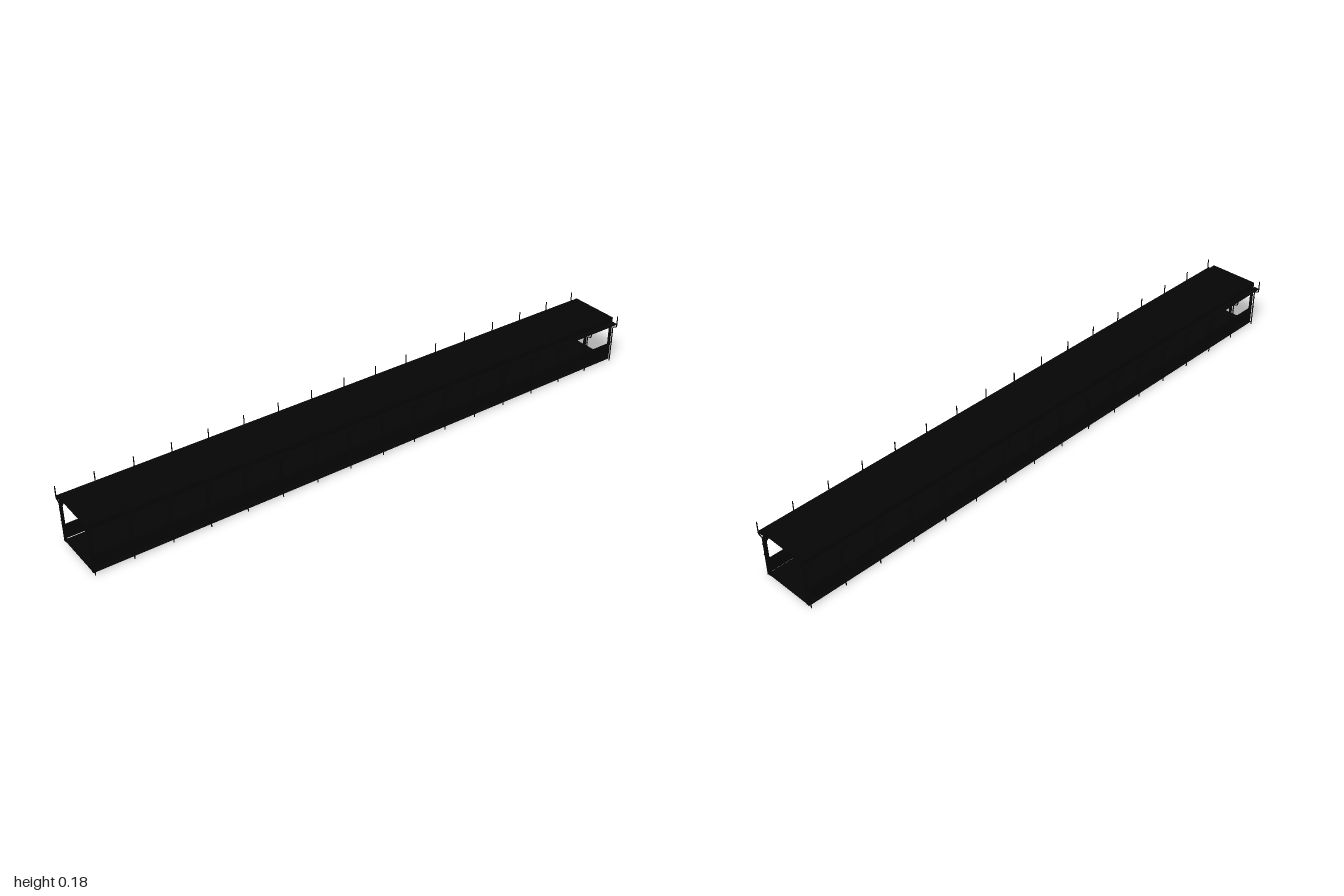
import * as THREE from 'three';

const BAYS = 16, LENGTH = 2, PITCH = LENGTH / BAYS;
const black = new THREE.MeshStandardMaterial({ color: 0x050505, side: THREE.DoubleSide });

function add(parent, name, geometry, x = 0, y = 0, z = 0) {
  const mesh = new THREE.Mesh(geometry, black);
  mesh.name = name;
  mesh.position.set(x, y, z);
  parent.add(mesh);
  return mesh;
}

// Box given by its lower and upper limits in x and y, and its centre and depth in z
function box(parent, name, x0, x1, y0, y1, z, depth) {
  return add(parent, name, new THREE.BoxGeometry(Math.abs(x1 - x0), y1 - y0, depth),
    (x0 + x1) / 2, (y0 + y1) / 2, z);
}

// Triangular corner brace under the roof beam
function braceGeometry(side) {
  const s = new THREE.Shape();
  s.moveTo(side * 0.081, 0.159);
  s.lineTo(side * 0.061, 0.159);
  s.lineTo(side * 0.081, 0.129);
  s.closePath();
  return new THREE.ExtrudeGeometry(s, { depth: 0.006, bevelEnabled: false }).translate(0, 0, -0.003);
}

// Outer pole, cranked outward near the top
function poleGeometry(side) {
  const p = (x, y) => new THREE.Vector3(side * x, y, 0);
  const path = new THREE.CurvePath();
  path.add(new THREE.LineCurve3(p(0.0965, 0), p(0.0965, 0.13)));
  path.add(new THREE.QuadraticBezierCurve3(p(0.0965, 0.13), p(0.0965, 0.1345), p(0.101, 0.136)));
  path.add(new THREE.LineCurve3(p(0.101, 0.136), p(0.108, 0.138)));
  path.add(new THREE.QuadraticBezierCurve3(p(0.108, 0.138), p(0.113, 0.139), p(0.113, 0.145)));
  path.add(new THREE.LineCurve3(p(0.113, 0.145), p(0.113, 0.181)));
  return new THREE.TubeGeometry(path, 60, 0.0018, 6, false);
}

export function createModel() {
  const model = new THREE.Group();
  model.name = 'coveredWalkway';

  // Floor sheet and roof deck
  const floor = new THREE.PlaneGeometry(0.17, LENGTH).rotateX(-Math.PI / 2);
  add(model, 'floor', floor, 0, 0.007, 0);
  box(model, 'roofDeck', -0.088, 0.088, 0.162, 0.166, 0, LENGTH);

  // Raised roof ribs
  const ribs = BAYS * 4;
  for (let i = 0; i < ribs; i++) {
    const z = -LENGTH / 2 + (i + 0.5) * LENGTH / ribs;
    box(model, 'roofRib', -0.088, 0.088, 0.165, 0.1675, z, 0.016);
  }

  for (const side of [-1, 1]) {
    const half = new THREE.Group();
    half.name = side > 0 ? 'leftSide' : 'rightSide';
    model.add(half);

    // Long members: sill, parapet, eaves beam and gutter shelf
    box(half, 'sillRail', side * 0.079, side * 0.091, 0.005, 0.008, 0, LENGTH);
    box(half, 'parapet', side * 0.083, side * 0.087, 0.017, 0.064, 0, LENGTH);
    box(half, 'eavesBeam', side * 0.082, side * 0.088, 0.146, 0.166, 0, LENGTH);
    box(half, 'gutterShelf', side * 0.092, side * 0.111, 0.148, 0.151, 0, LENGTH);

    const brace = braceGeometry(side), pole = poleGeometry(side);
    for (let i = 0; i <= BAYS; i++) {
      // End frames are kept inside the overall length
      const z = THREE.MathUtils.clamp(-1 + i * PITCH, -0.997, 0.997);
      box(half, 'post', side * 0.081, side * 0.089, 0.007, 0.16, z, 0.006);
      add(half, 'cornerBrace', brace, 0, 0, z);
      add(half, 'outerPole', pole, 0, 0, z);
      for (const y of [0.074, 0.112])
        box(half, 'poleClip', side * 0.094, side * 0.099, y - 0.001, y + 0.001, z, 0.005);
    }
  }

  // Cross beams over every frame
  for (let i = 0; i <= BAYS; i++) {
    const z = THREE.MathUtils.clamp(-1 + i * PITCH, -0.997, 0.997);
    box(model, 'crossBeam', -0.089, 0.089, 0.158, 0.167, z, 0.006);
  }
  return model;
}
